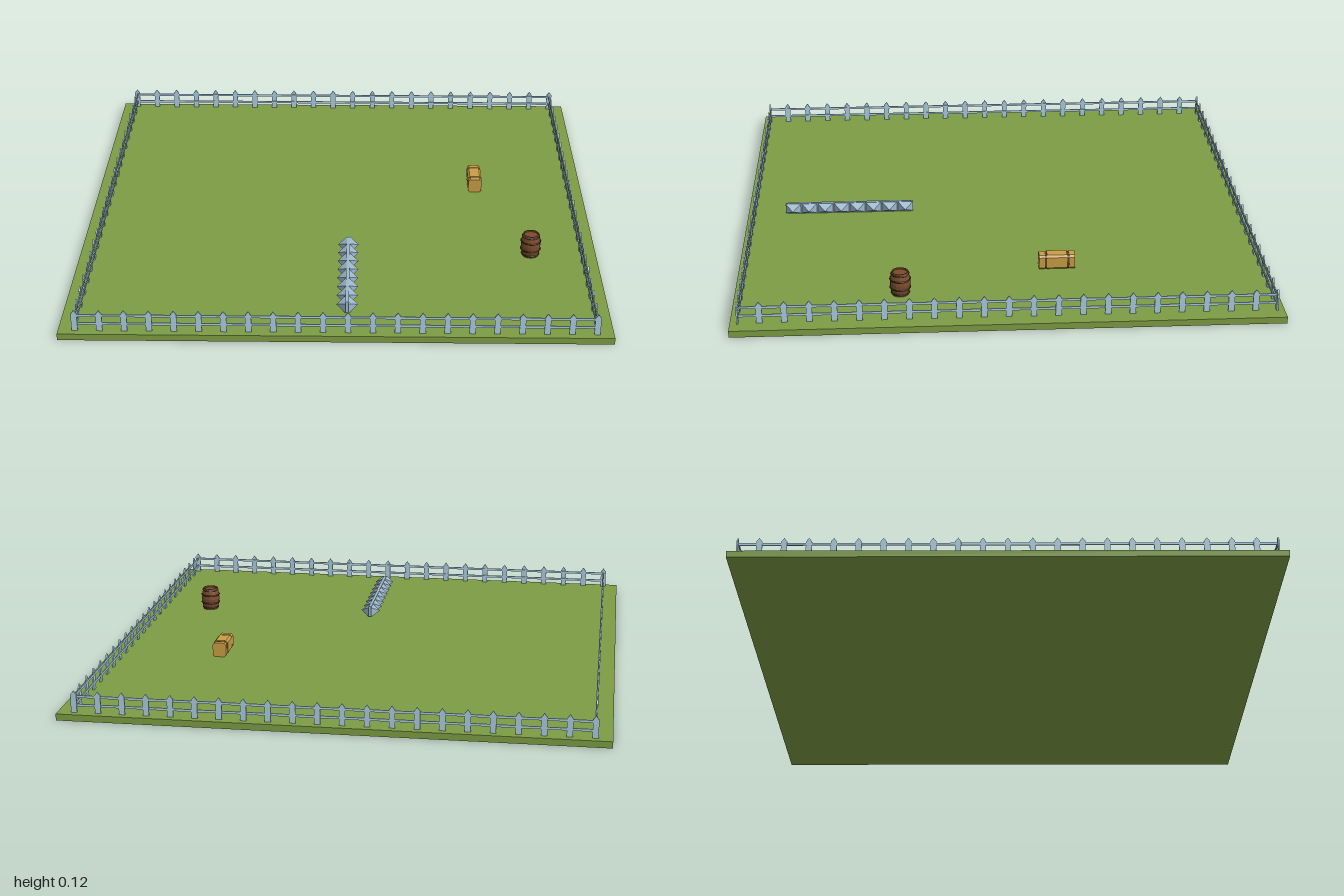
import * as THREE from 'three';

const mat = (color) => new THREE.MeshStandardMaterial({ color, flatShading: true });
const GROUND = 0.025;

export function createModel() {
  const model = new THREE.Group();
  const grass = mat(0x7c9c43), paint = mat(0xa9cbdd), steel = mat(0x9db8cc);
  const wood = mat(0x7d4c2b), iron = mat(0x3a2a20), straw = mat(0xc89d45), strap = mat(0x5c4220);

  const add = (parent, name, geometry, material, x = 0, y = 0, z = 0) => {
    const mesh = new THREE.Mesh(geometry, material);
    mesh.name = name;
    mesh.position.set(x, y, z);
    parent.add(mesh);
    return mesh;
  };
  const group = (name, x = 0, y = 0, z = 0) => {
    const g = new THREE.Group();
    g.name = name;
    g.position.set(x, y, z);
    model.add(g);
    return g;
  };

  // Field
  add(model, 'ground', new THREE.BoxGeometry(2, GROUND, 2), grass, 0, GROUND / 2, 0);

  // Fence: pointed pickets on two rails, one group per side
  const outline = new THREE.Shape([[-0.011, 0], [0.011, 0], [0.011, 0.068], [0, 0.083], [-0.011, 0.068]]
    .map(([x, y]) => new THREE.Vector2(x, y)));
  const picket = new THREE.ExtrudeGeometry(outline, { depth: 0.006, bevelEnabled: false });
  picket.translate(0, 0, -0.003);
  const fence = (name, length, count, x, z, turn) => {
    const g = group(name, x, GROUND, z);
    g.rotation.y = turn;
    for (let i = 0; i < count; i++) add(g, 'picket', picket, paint, (i - (count - 1) / 2) * 0.0894, 0, 0);
    for (const y of [0.027, 0.06]) add(g, 'rail', new THREE.BoxGeometry(length, 0.009, 0.004), paint, 0, y, -0.003);
  };
  fence('frontFence', 1.88, 22, 0, 0.972, 0);
  fence('backFence', 1.88, 22, 0, -0.972, Math.PI);
  fence('leftFence', 1.944, 21, 0.94, 0, Math.PI / 2);
  fence('rightFence', 1.944, 21, -0.94, 0, -Math.PI / 2);

  // Spiked barrier: a long bar with a row of pyramids on each side
  const barrier = group('spikedBarrier', 0.04, 0.05, 0.593);
  add(barrier, 'bar', new THREE.BoxGeometry(0.012, 0.044, 0.495), steel);
  const spike = new THREE.ConeGeometry(Math.SQRT1_2, 1, 4, 1);
  spike.rotateY(Math.PI / 4).scale(0.04, 0.034, 0.06).translate(0, 0.023, 0);
  for (const side of [-1, 1]) {
    for (let i = 0; i < 8; i++) {
      add(barrier, 'spike', spike, steel, 0, 0, (i - 3.5) * 0.0645).rotation.z = -side * Math.PI / 2;
    }
  }

  // Barrel with sunken lids and iron hoops
  const barrel = group('barrel', 0.745, GROUND, 0.39);
  const profile = [[0, 0.004], [0.027, 0.004], [0.027, 0], [0.031, 0], [0.036, 0.024], [0.038, 0.046],
    [0.036, 0.068], [0.031, 0.092], [0.027, 0.092], [0.027, 0.086], [0, 0.086]]
    .map(([r, y]) => new THREE.Vector2(r, y));
  add(barrel, 'staves', new THREE.LatheGeometry(profile, 16), wood);
  for (const [y, r] of [[0.008, 0.033], [0.029, 0.038], [0.063, 0.038], [0.084, 0.033]]) {
    const hoop = new THREE.TorusGeometry(r, 0.0025, 4, 16);
    add(barrel, 'hoop', hoop.rotateX(Math.PI / 2), iron, 0, y, 0);
  }

  // Straw bale: chamfered block, pinched where the straps go round
  const bale = group('strawBale', 0.558, GROUND, -0.203);
  const block = (w, h, depth) => {
    const c = 0.008;
    const s = new THREE.Shape([[-w, c], [-w + c, 0], [w - c, 0], [w, c], [w, h - c], [w - c, h], [-w + c, h], [-w, h - c]]
      .map(([x, y]) => new THREE.Vector2(x, y)));
    return new THREE.ExtrudeGeometry(s, { depth, bevelEnabled: false }).translate(0, 0, -depth / 2);
  };
  add(bale, 'middle', block(0.028, 0.058, 0.076), straw);
  for (const side of [-1, 1]) {
    add(bale, 'strap', block(0.025, 0.055, 0.01), strap, 0, 0, side * 0.042);
    add(bale, 'end', block(0.027, 0.057, 0.022), straw, 0, 0, side * 0.057);
  }
  return model;
}
